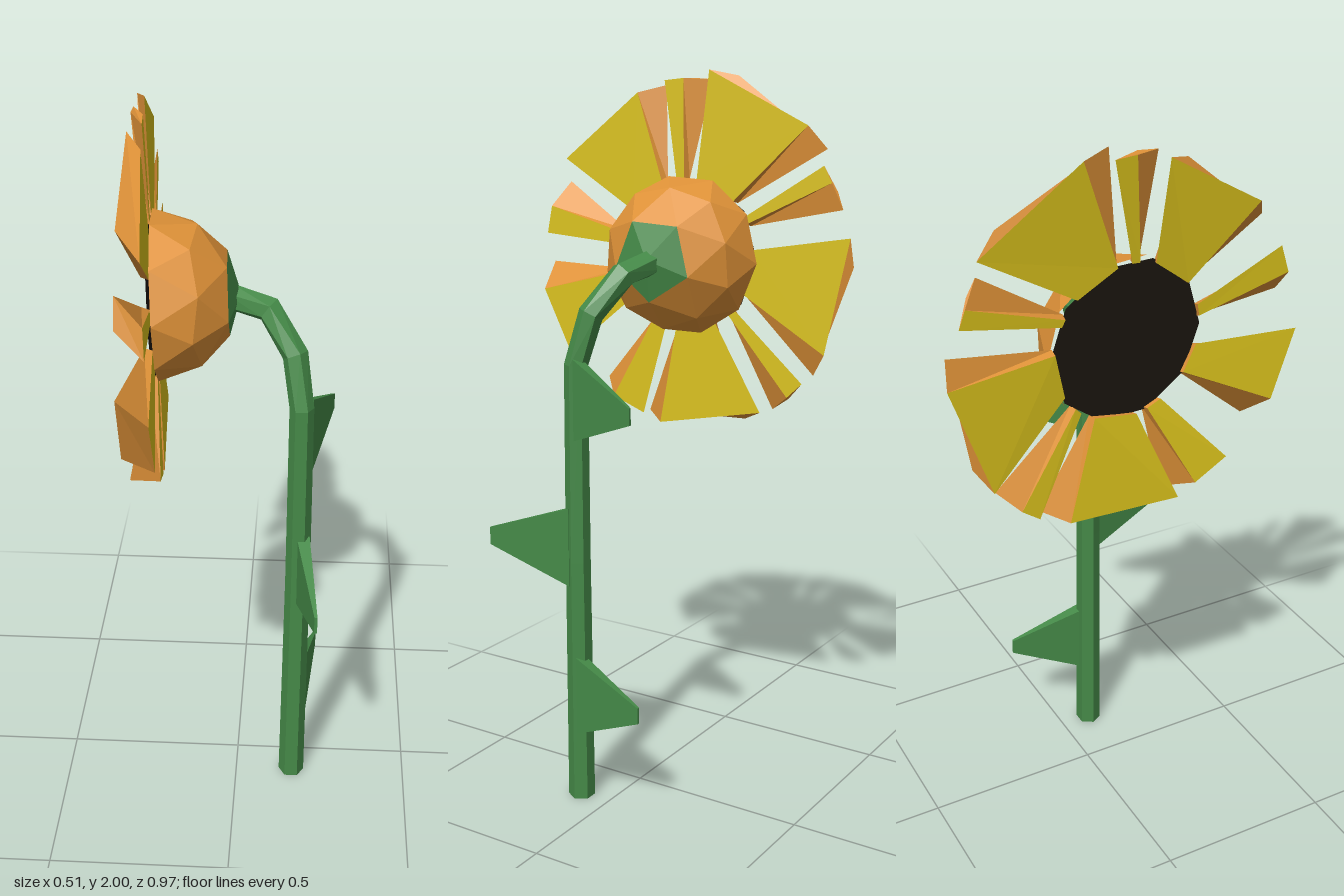
import * as THREE from 'three';

const GREEN = 0x458a48, ORANGE = 0xdf9238, YELLOW = 0xd8c01c, DARK = 0x1c1610;
const V = (x, y, z) => new THREE.Vector3(x, y, z);

function meshFrom(name, points, color) {
  const geo = new THREE.BufferGeometry().setFromPoints(points);
  geo.computeVertexNormals();
  const mesh = new THREE.Mesh(geo, new THREE.MeshStandardMaterial({ color, flatShading: true }));
  mesh.name = name;
  return mesh;
}

// Joins cross-section rings into a closed solid; returns side and cap triangles facing outward
function loft(rings) {
  const sides = [], caps = [], n = rings[0].length;
  for (let i = 0; i < rings.length - 1; i++) {
    for (let j = 0; j < n; j++) {
      const k = (j + 1) % n, a = rings[i], b = rings[i + 1];
      sides.push(a[j], a[k], b[k], a[j], b[k], b[j]);
    }
  }
  const first = rings[0], last = rings[rings.length - 1];
  for (let j = 1; j < n - 1; j++) {
    caps.push(first[0], first[j + 1], first[j], last[0], last[j], last[j + 1]);
  }
  // turn the solid right side out when its volume is negative
  const all = [...sides, ...caps], o = first[0];
  let volume = 0;
  for (let i = 0; i < all.length; i += 3) {
    const [p, q, r] = [0, 1, 2].map((d) => all[i + d].clone().sub(o));
    volume += p.dot(q.cross(r));
  }
  if (volume < 0) { sides.reverse(); caps.reverse(); }
  return { sides, caps };
}

function solid(name, rings, color) {
  const { sides, caps } = loft(rings);
  return meshFrom(name, [...sides, ...caps], color);
}

// Six-sided stem bending over at the top
function makeStem() {
  const path = [V(-0.03, 1.5, -0.025), V(0.08, 1.475, 0), V(0.15, 1.375, 0.055),
    V(0.17, 1.24, 0.09), V(0.17, 0.7, 0.09), V(0.165, 0, 0.09)];
  const radii = [0.036, 0.036, 0.034, 0.032, 0.034, 0.037];
  const rings = path.map((p, i) => {
    const before = path[Math.max(i - 1, 0)], after = path[Math.min(i + 1, path.length - 1)];
    const t = after.clone().sub(before).normalize();
    if (i === path.length - 1) t.set(0, -1, 0);
    const u = V(0, 0, 1).cross(t).normalize(), w = t.clone().cross(u);
    return Array.from({ length: 6 }, (_, j) => {
      const a = j * Math.PI / 3;
      return p.clone().addScaledVector(u, radii[i] * Math.cos(a)).addScaledVector(w, radii[i] * Math.sin(a));
    });
  });
  return solid('stem', rings, GREEN);
}

// Tapering leaf: an upright slab from the stem to a short tip edge
function makeLeaf(baseLow, baseHigh, baseZ, tipLow, tipHigh, tipX, tipZ) {
  const ring = (x, z, low, high, half) =>
    [V(x - half, low, z), V(x + half, low, z), V(x + half, high, z), V(x - half, high, z)];
  return solid('leaf', [
    ring(0.182, baseZ, baseLow, baseHigh, 0.018),
    ring(tipX, tipZ, tipLow, tipHigh, 0.004),
  ], GREEN);
}

// Head leans a little, so its plane is given as x over (y, z)
const CENTRE = V(-0.212, 1.5, -0.012), TILT_Y = 0.03, TILT_Z = 0.055;

// Petal: flat yellow faces, orange rim; the front face is turned against the rear one
function makePetal(from, to, radius) {
  const rad = THREE.MathUtils.degToRad, mid = (from + to) / 2;
  const corner = (deg, r, front) => {
    const y = r * Math.sin(rad(deg)), z = -r * Math.cos(rad(deg));
    const rear = CENTRE.x - TILT_Y * y + TILT_Z * z;
    const x = !front ? rear : r > 0.3 ? Math.min(-0.257, rear - 0.012) : rear - 0.02;
    return V(x, CENTRE.y + y, CENTRE.z + z);
  };
  const face = (front) => {
    const turn = front ? -9 : 0;
    const inner = (a) => mid + (a - mid) * 0.92 + turn * 0.2;
    return [corner(inner(from), 0.207, front), corner(from + turn, radius, front),
      corner(to + turn, radius, front), corner(inner(to), 0.207, front)];
  };
  const { sides, caps } = loft([face(false), face(true)]);
  const petal = new THREE.Group();
  petal.name = 'petal';
  petal.add(meshFrom('petalFaces', caps, YELLOW), meshFrom('petalRim', sides, ORANGE));
  return petal;
}

// Faceted half ball behind the petals with a green cap at the stem, and the dark seed disc
function makeHeadCore() {
  const core = new THREE.Group();
  core.name = 'headCore';
  const ball = new THREE.IcosahedronGeometry(0.22, 1);
  ball.rotateY(Math.atan(2 / (1 + Math.sqrt(5)))).rotateX(-Math.PI / 2 - 0.06);
  const pos = ball.attributes.position, dome = [], cap = [];
  for (let i = 0; i < pos.count; i += 3) {
    const tri = [0, 1, 2].map((d) => new THREE.Vector3().fromBufferAttribute(pos, i + d));
    const x = (tri[0].x + tri[1].x + tri[2].x) / 3;
    if (x > 0.176) cap.push(...tri);
    else if (x > 0.01) dome.push(...tri);
  }
  const disc = new THREE.Mesh(
    new THREE.CircleGeometry(0.215, 10).rotateY(-Math.PI / 2),
    new THREE.MeshStandardMaterial({ color: DARK, flatShading: true, side: THREE.DoubleSide }));
  disc.name = 'seedDisc';
  disc.position.x = -0.008;
  core.add(meshFrom('dome', dome, ORANGE), meshFrom('domeCap', cap, GREEN), disc);
  core.position.copy(CENTRE);
  core.rotation.set(0, TILT_Z, TILT_Y);
  return core;
}

export function createModel() {
  const flower = new THREE.Group();
  flower.name = 'flower';
  flower.add(makeStem(), makeHeadCore());

  // leaves on alternating sides
  flower.add(
    makeLeaf(1.04, 1.26, 0.08, 1.12, 1.165, 0.254, -0.135),
    makeLeaf(0.63, 0.85, 0.1, 0.715, 0.765, 0.222, 0.35),
    makeLeaf(0.2, 0.425, 0.08, 0.295, 0.34, 0.224, -0.14));

  // petals, as [start angle, end angle, radius]
  const petals = [
    [83, 45, 0.5], [99, 92, 0.475], [147, 110, 0.465], [175, 165, 0.455], [219, 195, 0.48],
    [255, 242, 0.475], [300, 262, 0.485], [318, 311, 0.49], [368, 330, 0.49], [32, 26, 0.475],
  ];
  for (const p of petals) flower.add(makePetal(...p));
  return flower;
}
